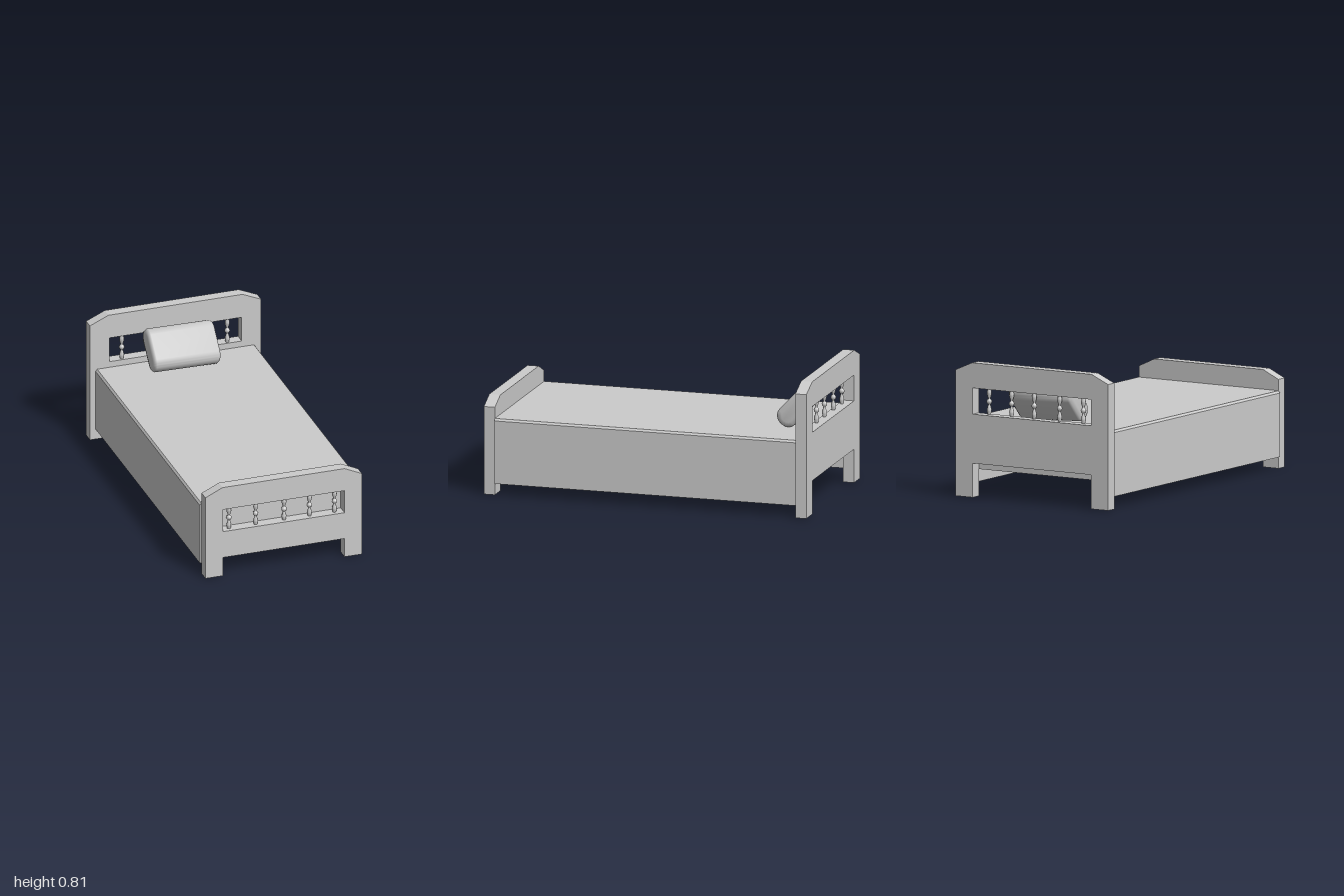
import * as THREE from 'three';
import { toCreasedNormals } from 'three/addons/utils/BufferGeometryUtils.js';

const material = new THREE.MeshStandardMaterial({ color: 0xcccccc });
const SPINDLE_X = [-0.33, -0.164, 0.013, 0.171, 0.327];
const BOARD_DEPTH = 0.068;

function add(parent, name, geometry) {
  const mesh = new THREE.Mesh(geometry, material);
  mesh.name = name;
  parent.add(mesh);
  return mesh;
}

const outline = (points) => new THREE.Shape(points.map(([x, y]) => new THREE.Vector2(x, y)));

// Turned spindle with two swellings and a central bead, mirrored about its middle
function spindleGeometry(height) {
  const half = [[0.017, 0], [0.014, 0.13], [0.006, 0.21], [0.008, 0.29], [0.015, 0.6], [0.014, 0.75], [0.010, 1]];
  const upper = half.map(([r, t]) => new THREE.Vector2(r, t * height / 2));
  const lower = upper.slice(1).reverse().map((p) => new THREE.Vector2(p.x, -p.y));
  return new THREE.LatheGeometry([...lower, ...upper], 8);
}

// End board: legs, clipped top corners, and a window filled with spindles
function endBoard(name, b) {
  const group = new THREE.Group();
  group.name = name;
  const shape = outline([
    [-b.w, b.base], [-b.leg, b.base], [-b.leg, b.notch], [b.leg, b.notch], [b.leg, b.base], [b.w, b.base],
    [b.w, b.shoulder], [b.crown, b.top], [-b.crown, b.top], [-b.w, b.shoulder],
  ]);
  shape.holes.push(outline([[-b.leg, b.low], [-b.leg, b.high], [b.leg, b.high], [b.leg, b.low]]));
  const panel = new THREE.ExtrudeGeometry(shape, { depth: BOARD_DEPTH, bevelEnabled: false });
  panel.translate(-0.001, 0, b.z);
  add(group, name + 'Panel', panel);

  const spindle = spindleGeometry(b.high - b.low);
  for (const x of SPINDLE_X) {
    add(group, name + 'Spindle', spindle).position.set(x, (b.low + b.high) / 2 - 0.002, b.spindleZ);
  }
  return group;
}

// Soft rounded slab leaning on the headboard
function pillowGeometry() {
  const x = 0.035, y = 0.102, r = 0.032;
  const s = new THREE.Shape();
  s.absarc(x - r, y - r, r, 0, Math.PI / 2);
  s.absarc(r - x, y - r, r, Math.PI / 2, Math.PI);
  s.absarc(r - x, r - y, r, Math.PI, Math.PI * 1.5);
  s.absarc(x - r, r - y, r, Math.PI * 1.5, Math.PI * 2);
  const g = new THREE.ExtrudeGeometry(s, {
    depth: 0.39, bevelThickness: 0.016, bevelSize: 0.03, bevelSegments: 2, curveSegments: 6,
  });
  g.translate(0, 0, -0.195);
  g.rotateY(Math.PI / 2);
  return toCreasedNormals(g, 0.8);
}

export function createModel() {
  const bed = new THREE.Group();
  bed.name = 'bed';

  bed.add(endBoard('headboard', {
    w: 0.533, leg: 0.412, base: 0.005, notch: 0.208, low: 0.5, high: 0.656,
    shoulder: 0.755, crown: 0.417, top: 0.806, z: -1, spindleZ: -0.95,
  }));
  bed.add(endBoard('footboard', {
    w: 0.487, leg: 0.379, base: 0, notch: 0.12, low: 0.29, high: 0.435,
    shoulder: 0.53, crown: 0.38, top: 0.58, z: 1 - BOARD_DEPTH, spindleZ: 0.966,
  }));

  // Mattress base with thin side skirts, open underneath
  const body = outline([
    [-0.498, 0.07], [-0.487, 0.07], [-0.487, 0.165], [0.487, 0.165], [0.487, 0.07], [0.498, 0.07],
    [0.498, 0.45], [0.488, 0.463], [-0.488, 0.463], [-0.498, 0.45],
  ]);
  const length = 2 - 2 * BOARD_DEPTH;
  const mattress = new THREE.ExtrudeGeometry(body, { depth: length, bevelEnabled: false });
  mattress.translate(-0.001, 0, -length / 2);
  add(bed, 'mattressAndRails', mattress);

  // Pillow leans back and is slightly skewed
  const pillow = add(bed, 'pillow', pillowGeometry());
  pillow.position.set(-0.002, 0.588, -0.82);
  pillow.rotation.set(-0.75, 0.05, 0, 'XYZ');
  return bed;
}
